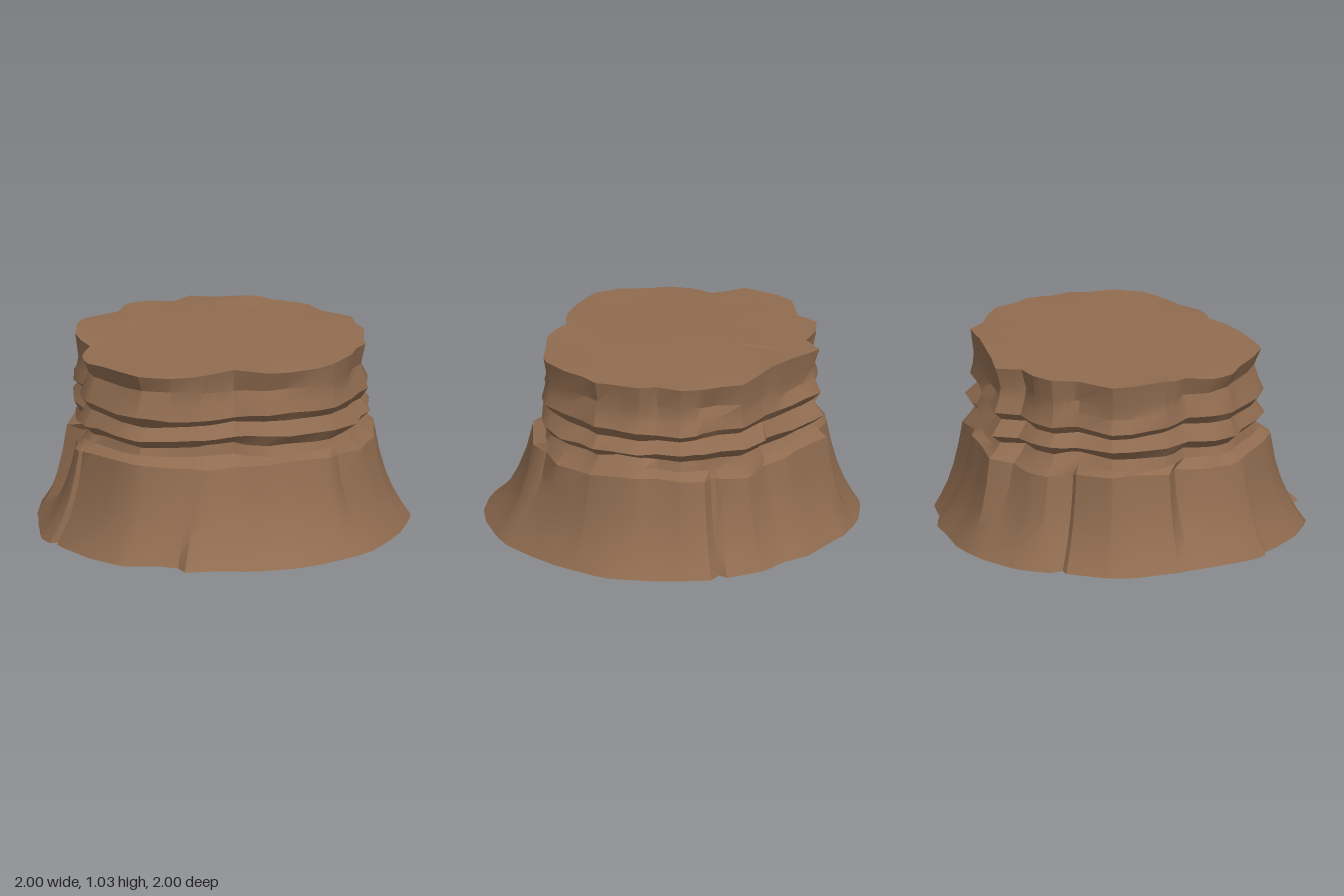
import * as THREE from 'three';
import { toCreasedNormals } from 'three/addons/utils/BufferGeometryUtils.js';

// Plan outlines as [x, z]: the foot of the slope and the rim of the summit
const FOOT = [
  [1, -0.05], [0.99, 0.12], [0.94, 0.35], [0.89, 0.49], [0.74, 0.66], [0.52, 0.84], [0.35, 0.94],
  [0.19, 0.98], [-0.15, 0.99], [-0.34, 0.93], [-0.56, 0.79], [-0.7, 0.72], [-0.69, 0.64],
  [-0.77, 0.54], [-0.9, 0.46], [-0.98, 0.22], [-0.98, -0.08], [-0.93, -0.1], [-1, -0.12],
  [-0.99, -0.21], [-0.9, -0.37], [-0.8, -0.53], [-0.6, -0.8], [-0.48, -0.88], [-0.25, -0.93],
  [-0.21, -0.9], [-0.17, -0.96], [0, -1], [0.27, -0.95], [0.47, -0.85], [0.62, -0.71],
  [0.73, -0.62], [0.8, -0.48], [0.91, -0.35], [0.98, -0.14], [0.94, -0.1],
];
const RIM = [
  [0.78, 0], [0.79, 0.08], [0.73, 0.2], [0.72, 0.3], [0.64, 0.41], [0.59, 0.51], [0.5, 0.56],
  [0.41, 0.65], [0.25, 0.72], [0.17, 0.72], [0, 0.68], [-0.13, 0.65], [-0.26, 0.53],
  [-0.42, 0.5], [-0.72, 0.3], [-0.76, 0], [-0.78, -0.1], [-0.73, -0.22], [-0.62, -0.31],
  [-0.6, -0.48], [-0.48, -0.64], [-0.4, -0.7], [-0.18, -0.7], [-0.07, -0.78], [0.06, -0.76],
  [0.17, -0.69], [0.3, -0.74], [0.38, -0.64], [0.47, -0.55], [0.6, -0.4], [0.74, -0.26], [0.74, -0.13],
];
// Ravines in the slope: angle, half width, depth
const RAVINES = [
  [1.17, 0.14, 0.07], [1.98, 0.07, 0.03], [2.35, 0.1, 0.04], [-2.28, 0.11, 0.08],
  [-2.56, 0.09, 0.07], [-2.82, 0.08, 0.04], [-1.78, 0.07, 0.05], [-0.13, 0.06, 0.05], [-0.55, 0.09, 0.03],
];
const TAU = Math.PI * 2;

const toPolar = (points) => points
  .map(([x, z]) => ({ a: (Math.atan2(z, x) + TAU) % TAU, r: Math.hypot(x, z) }))
  .sort((p, q) => p.a - q.a);

// Radius of a closed outline at an angle
function radiusAt(outline, a) {
  const n = outline.length;
  let k = outline.findIndex((p) => p.a > a);
  if (k < 0) k = n;
  const p = outline[(k + n - 1) % n], q = outline[k % n];
  const span = (q.a - p.a + TAU) % TAU;
  return p.r + (q.r - p.r) * (((a - p.a + TAU) % TAU) / span);
}

function noise(i, j) {
  const s = Math.sin(i * 127.1 + j * 311.7) * 43758.5453;
  return (s - Math.floor(s)) * 2 - 1;
}

const summitHeight = (x, z) =>
  1.0 + 0.018 * x + 0.012 * Math.sin(4 * x + 1) * Math.cos(3.5 * z) + (z < -0.42 ? 0.012 : 0);

// Grid of rings, each ring being one point per column
function ringsToMesh(name, rings, material, crease) {
  const pos = [];
  const tri = (a, b, c) => {
    if (a.distanceTo(b) < 1e-6 || b.distanceTo(c) < 1e-6 || a.distanceTo(c) < 1e-6) return;
    for (const p of [a, b, c]) pos.push(p.x, p.y, p.z);
  };
  for (let i = 0; i < rings.length - 1; i++) {
    const low = rings[i], high = rings[i + 1];
    for (let j = 0; j < low.length; j++) {
      const k = (j + 1) % low.length;
      tri(low[j], high[j], low[k]);
      tri(low[k], high[j], high[k]);
    }
  }
  const geometry = new THREE.BufferGeometry();
  geometry.setAttribute('position', new THREE.Float32BufferAttribute(pos, 3));
  const mesh = new THREE.Mesh(toCreasedNormals(geometry, crease), material);
  mesh.name = name;
  return mesh;
}

export function createModel() {
  const group = new THREE.Group();
  group.name = 'mesa';
  const rock = new THREE.MeshStandardMaterial({ color: 0x906c50 });
  rock.name = 'brown rock';

  // One column for every corner of either outline
  const foot = toPolar(FOOT), rim = toPolar(RIM);
  const columns = [...foot, ...rim].map((p) => p.a).sort((a, b) => a - b)
    .filter((a, i, all) => i === 0 || a - all[i - 1] > 0.012)
    .map((a) => ({ a, foot: radiusAt(foot, a), rim: radiusAt(rim, a) }));
  const at = (a, r, y) => new THREE.Vector3(Math.cos(a) * r, y, Math.sin(a) * r);
  const ring = (fn) => columns.map(fn);

  // Slope: height and how far it has spread towards the foot
  const slope = [[0, 1], [0.06, 0.83], [0.14, 0.64], [0.24, 0.47], [0.36, 0.33], [0.495, 0.22]]
    .map(([y, spread]) => ring(({ a, foot: f, rim: r }) => {
      let radius = r + (f - r) * spread;
      for (const [angle, width, depth] of RAVINES) {
        const d = Math.abs(((a - angle + Math.PI + TAU) % TAU) - Math.PI);
        radius -= depth * Math.max(0, 1 - d / width) * Math.min(1, y / 0.3);
      }
      return at(a, radius, y + (y > 0.4 ? 0.015 * Math.sin(a * 5) : 0));
    }));

  // Strata: height and how far each edge stands out from the rim
  const strata = [[0.535, -0.005], [0.585, -0.03], [0.632, 0.018], [0.705, -0.032],
    [0.752, 0.012], [0.82, -0.015], [0.885, -0.028]]
    .map(([y, out], i) => ring(({ a, rim: r }) => {
      const block = Math.floor(a * 3.5);
      return at(a, r + out + 0.012 * noise(i, block),
        y + 0.008 * Math.sin(3 * a + i) + 0.006 * noise(i + 9, block));
    }));

  const summitRing = (scale) => ring(({ a, rim: r }) => {
    const p = at(a, r * scale, 0);
    p.y = summitHeight(p.x, p.z) + (scale === 1 ? 0.008 * Math.sin(7 * a) - 0.004 : 0);
    return p;
  });
  const summit = [1, 0.85, 0.65, 0.45, 0.22, 0].map(summitRing);
  const underside = [ring(({ a }) => at(a, 0, 0)), slope[0]];

  group.add(
    ringsToMesh('underside', underside, rock, 0.5),
    ringsToMesh('slope', slope, rock, 0.55),
    ringsToMesh('strata', [slope[slope.length - 1], ...strata, summit[0]], rock, 0.45),
    ringsToMesh('summit', summit, rock, 0.5),
  );
  return group;
}
